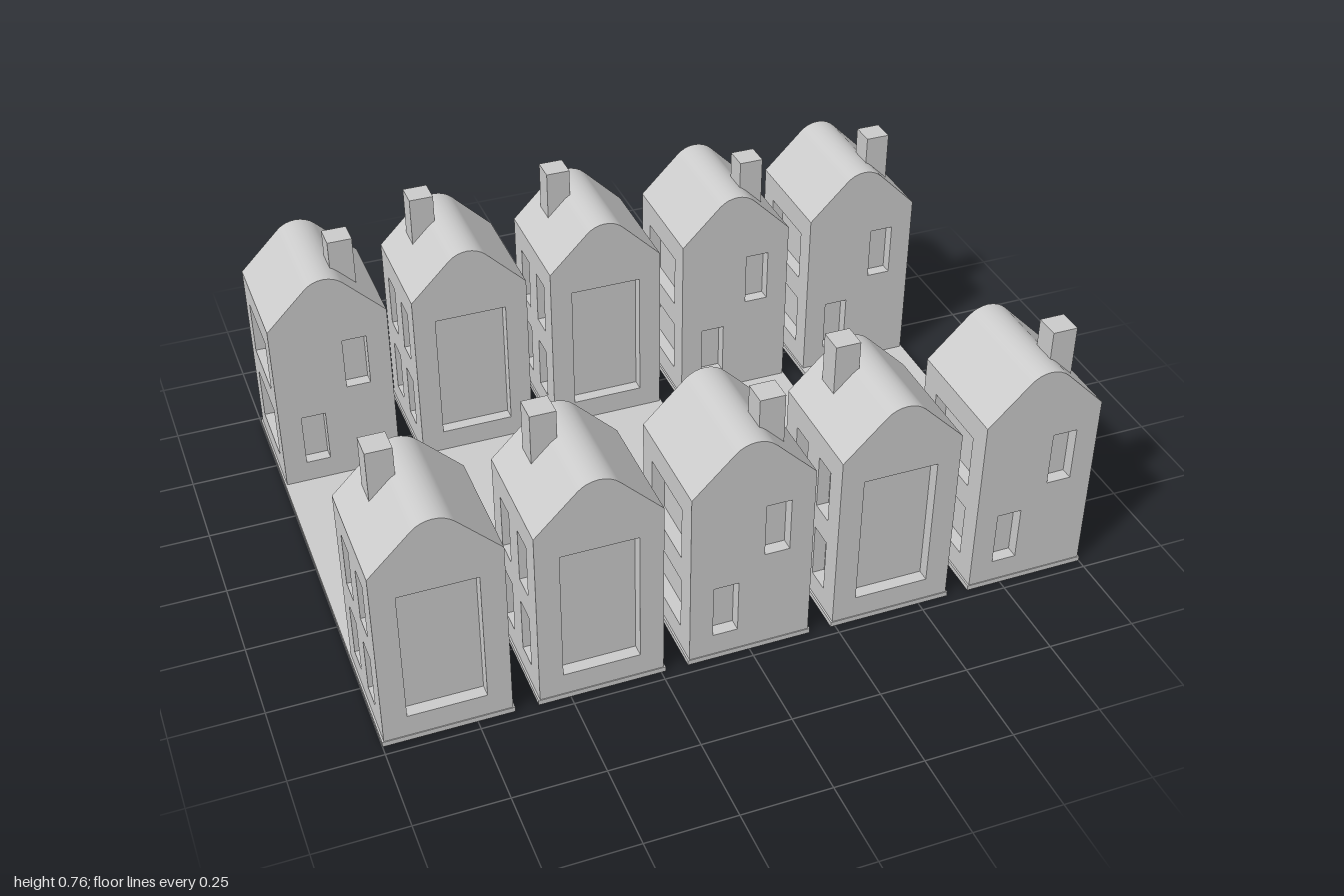
import * as THREE from 'three';
import { mergeGeometries } from 'three/addons/utils/BufferGeometryUtils.js';

const HALF = 0.17;        // half width and half depth of a house
const EAVE = 0.55;        // height of the side walls
const RECESS = 0.035;     // depth of the window niches
const PITCH = 0.4125;     // spacing of the plots
const ROW_Z = 0.55;       // distance of each row from the middle
const ARC = 0.077;        // radius of the rounded ridge

const material = new THREE.MeshStandardMaterial({ color: 0xcccccc });

// Window openings as [centre x, bottom, width, height]
const LOW = 0.08, HIGH = 0.315, H = 0.16, W = 0.07;
const bigOpening = [[0, LOW, 0.21, 0.395]];
const diagonalPair = [[-0.07, LOW, W, H], [0.07, HIGH, W, H]];
const fourSmall = [-0.07, 0.07].flatMap((x) => [[x, LOW, W, H], [x, HIGH, W, H]]);
const twoWide = [[0, LOW, 0.21, H], [0, HIGH, 0.21, H]];

// Roof cross-section: straight 45 degree slopes joined by a rounded ridge, as [x, y, normal angle]
function roofProfile() {
  const pts = [[-HALF, EAVE, -Math.PI / 4]];
  const cy = EAVE + HALF - ARC * Math.SQRT2;
  for (let i = 0; i <= 8; i++) {
    const a = (i / 8 - 0.5) * Math.PI / 2;
    pts.push([Math.sin(a) * ARC, cy + Math.cos(a) * ARC, a]);
  }
  pts.push([HALF, EAVE, Math.PI / 4]);
  return pts;
}
const profile = roofProfile();

// Inward-facing niche without its front side
function niche([x, y, w, h]) {
  const g = new THREE.BoxGeometry(w, h, RECESS).translate(x, y + h / 2, -RECESS / 2);
  const index = Array.from(g.index.array);
  index.splice(24, 6);
  g.setIndex(index.reverse());
  const n = g.attributes.normal;
  for (let i = 0; i < n.array.length; i++) n.array[i] *= -1;
  return g;
}

// Wall facing +z with openings cut out, then turned to its side of the house
function wall(openings, gable, turn) {
  const shape = new THREE.Shape();
  shape.moveTo(-HALF, 0).lineTo(HALF, 0).lineTo(HALF, EAVE);
  if (gable) for (const [x, y] of profile.slice(1, -1).reverse()) shape.lineTo(x, y);
  shape.lineTo(-HALF, EAVE).closePath();
  for (const [x, y, w, h] of openings) {
    const l = x - w / 2, r = x + w / 2;
    const hole = new THREE.Path();
    hole.moveTo(l, y).lineTo(l, y + h).lineTo(r, y + h).lineTo(r, y).closePath();
    shape.holes.push(hole);
  }
  const parts = [new THREE.ShapeGeometry(shape), ...openings.map(niche)];
  return mergeGeometries(parts).translate(0, 0, HALF).rotateY(turn);
}

// Roof skin swept along the depth, smooth over the ridge
function roofGeometry() {
  const n = profile.length;
  const g = new THREE.PlaneGeometry(1, 1, n - 1, 1);
  for (let i = 0; i < 2 * n; i++) {
    const [x, y, a] = profile[i % n];
    g.attributes.position.setXYZ(i, x, y, i < n ? -HALF : HALF);
    g.attributes.normal.setXYZ(i, Math.sin(a), Math.cos(a), 0);
  }
  return g;
}

const wallsGeometry = mergeGeometries([
  wall(bigOpening, true, 0),
  wall(twoWide, false, Math.PI / 2),
  wall(diagonalPair, true, Math.PI),
  wall(fourSmall, false, -Math.PI / 2),
]);
const roof = roofGeometry();
const chimney = new THREE.BoxGeometry(0.07, 0.16, 0.07).translate(-0.07, 0.68, -0.07);
const slab = new THREE.BoxGeometry(0.35, 0.015, 1.445).translate(0, 0.0075, 0);

function part(geometry, name) {
  const mesh = new THREE.Mesh(geometry, material);
  mesh.name = name;
  return mesh;
}

function house(x, z, turned, name) {
  const group = new THREE.Group();
  group.name = name;
  group.add(part(wallsGeometry, 'walls'), part(roof, 'roof'), part(chimney, 'chimney'));
  group.position.set(x, 0, z);
  group.rotation.y = turned ? Math.PI : 0;
  return group;
}

export function createModel() {
  const model = new THREE.Group();
  model.name = 'houseRows';
  // Which houses are turned round, from right to left
  const frontTurned = [false, false, true, false, true];
  const backTurned = [true, false, false, true, true];
  for (let i = 0; i < 5; i++) {
    const x = (i - 2) * PITCH;
    const plot = part(slab, 'plotBase');
    plot.position.x = x;
    model.add(plot);
    model.add(house(x, ROW_Z, frontTurned[i], 'frontHouse'));
    model.add(house(x, -ROW_Z, backTurned[i], 'backHouse'));
  }
  return model;
}
